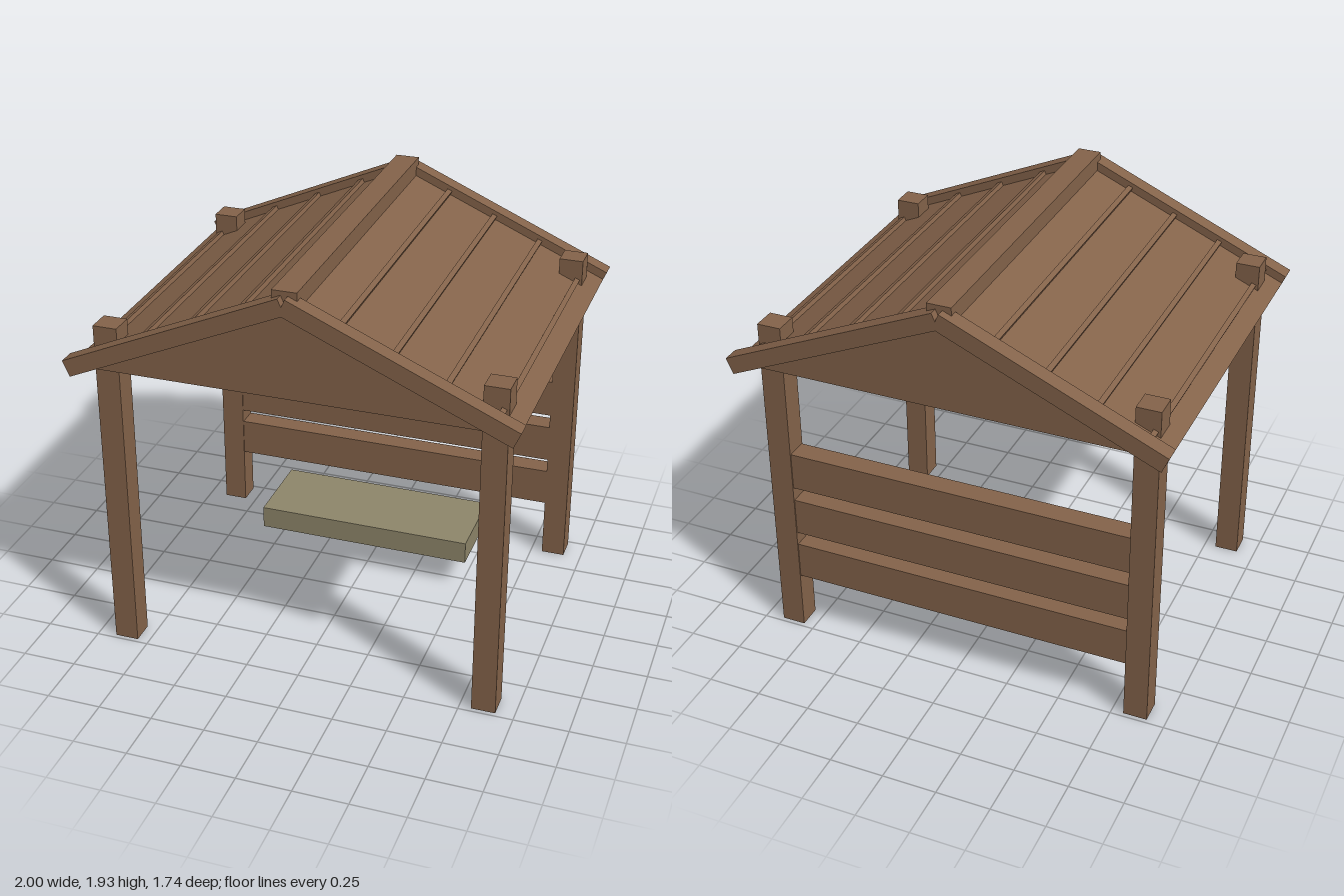
import * as THREE from 'three';

export function createModel() {
  const group = new THREE.Group();
  const wood = new THREE.MeshStandardMaterial({ color: 0x84634a });
  wood.name = 'brown wood';
  const seat = new THREE.MeshStandardMaterial({ color: 0x8e866a });
  seat.name = 'olive seat';

  const add = (name, geometry, material, x, y, z, tilt = 0) => {
    const mesh = new THREE.Mesh(geometry, material);
    mesh.name = name;
    mesh.position.set(x, y, z);
    mesh.rotation.z = tilt;
    group.add(mesh);
  };
  const box = (name, w, h, d, x, y, z, tilt = 0, material = wood) =>
    add(name, new THREE.BoxGeometry(w, h, d), material, x, y, z, tilt);

  // Roof slope runs from the ridge to the eaves
  const halfSpan = 0.983, eaveY = 1.45, ridgeY = 1.88, roofLength = 1.66;
  const rise = ridgeY - eaveY;
  const slope = Math.atan2(rise, halfSpan);
  const slopeLength = Math.hypot(halfSpan, rise);

  // Corner posts, standing up through the roof
  for (const x of [-0.86, 0.86])
    for (const z of [-0.675, 0.675]) box('post', 0.11, 1.6, 0.11, x, 0.8, z);

  // Back rails between the rear posts
  for (const y of [0.372, 0.618, 0.865])
    box('backRail', 1.61, 0.18, 0.1, 0, y, -0.675);

  // Bench plank
  box('bench', 1.044, 0.108, 0.4, 0, 0.202, -0.37, 0, seat);

  // Solid gable roof
  const gable = new THREE.Shape([
    new THREE.Vector2(-halfSpan, eaveY),
    new THREE.Vector2(halfSpan, eaveY),
    new THREE.Vector2(0, ridgeY),
  ]);
  const roof = new THREE.ExtrudeGeometry(gable, { depth: roofLength, bevelEnabled: false });
  add('roof', roof, wood, 0, 0, -roofLength / 2);

  for (const side of [-1, 1]) {
    // Sloping boards along the gable ends
    for (const z of [-0.83, 0.83])
      box('gableBoard', slopeLength, 0.077, 0.077, side * halfSpan / 2, (eaveY + ridgeY) / 2, z, -side * slope);

    // Raised battens across each roof slope
    const h = 0.02;
    for (let i = 1; i <= 4; i++) {
      const x = 0.2235 * i - 0.008;
      const y = ridgeY - x * Math.tan(slope);
      box('roofBatten', 0.024, h, roofLength,
        side * (x + Math.sin(slope) * h / 2), y + Math.cos(slope) * h / 2, 0, -side * slope);
    }
  }

  // Ridge cap
  box('ridgeCap', 0.11, 0.085, roofLength, 0, 1.892, 0);

  return group;
}
